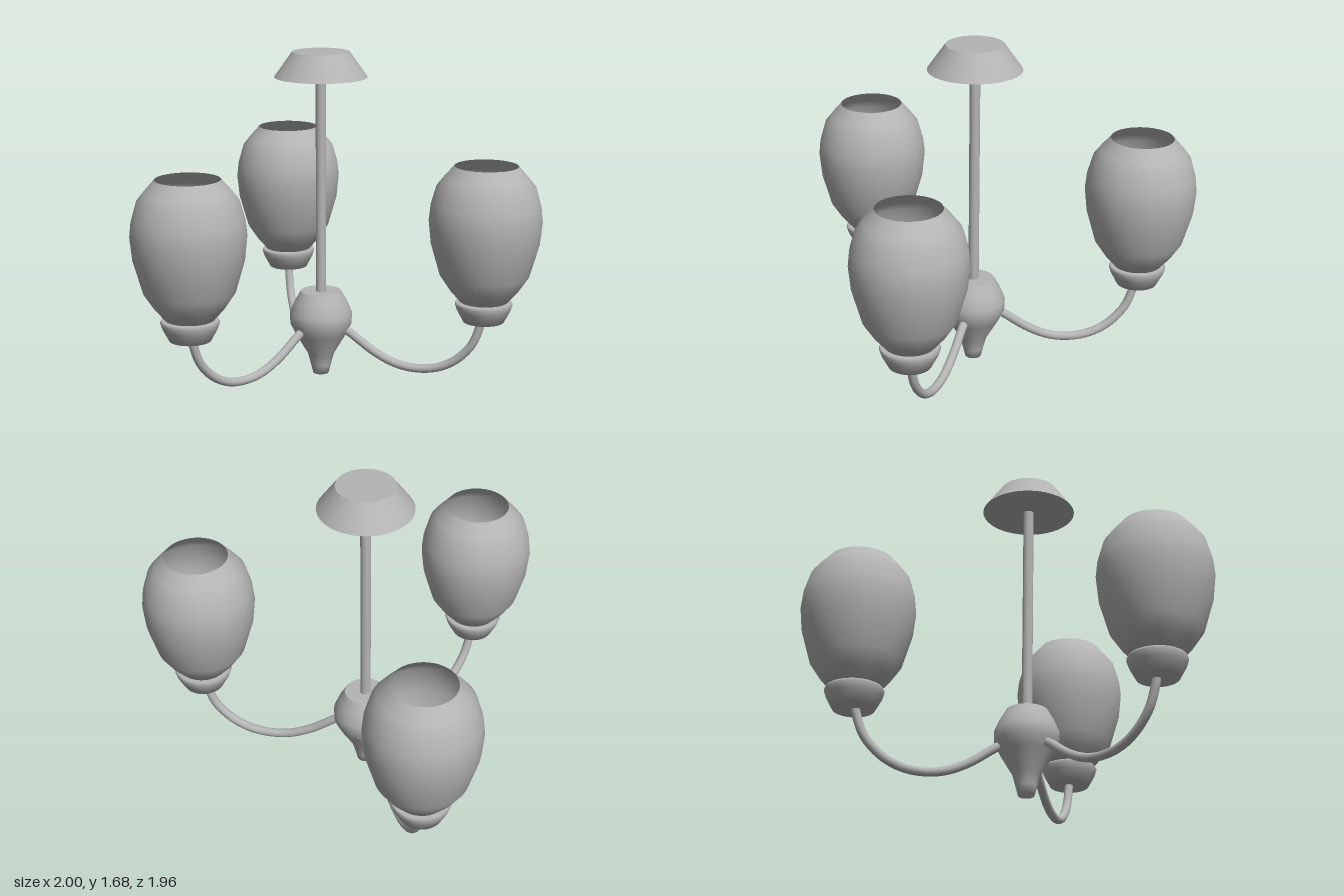
import * as THREE from 'three';

export function createModel() {
  const model = new THREE.Group();
  model.name = 'chandelier';

  const grey = new THREE.MeshStandardMaterial({ color: 0xb4b4b4 });
  grey.name = 'plainGrey';
  grey.side = THREE.DoubleSide;

  const add = (parent, name, geometry, y = 0) => {
    const mesh = new THREE.Mesh(geometry, grey);
    mesh.name = name;
    mesh.position.y = y;
    parent.add(mesh);
    return mesh;
  };
  const lathe = (points) =>
    new THREE.LatheGeometry(points.map(([r, y]) => new THREE.Vector2(r, y)), 40);

  // The stem stands off-centre so the three arms fill the bounds evenly
  const fixture = new THREE.Group();
  fixture.name = 'fixture';
  fixture.position.set(-0.095, 0, -0.127);
  model.add(fixture);

  // Ceiling canopy and stem
  add(fixture, 'canopy', new THREE.CylinderGeometry(0.144, 0.233, 0.126, 40), 1.622);
  add(fixture, 'stem', new THREE.CylinderGeometry(0.026, 0.026, 1.16, 20), 1.0);

  // Turned central hub
  add(fixture, 'hub', lathe([
    [0, 0.005], [0.04, 0.018], [0.052, 0.065], [0.068, 0.125], [0.13, 0.23],
    [0.157, 0.285], [0.16, 0.34], [0.135, 0.4], [0.103, 0.455],
  ]));
  const hubTop = add(fixture, 'hubTop', new THREE.CircleGeometry(0.103, 40), 0.455);
  hubTop.rotation.x = -Math.PI / 2;

  // Shared lamp parts
  const armCurve = new THREE.CatmullRomCurve3([
    [0.11, 0.27], [0.15, 0.25], [0.28, 0.16], [0.39, 0.108], [0.49, 0.09],
    [0.6, 0.1], [0.7, 0.145], [0.79, 0.235], [0.83, 0.33], [0.845, 0.4],
  ].map(([x, y]) => new THREE.Vector3(x, y, 0)));
  const armGeometry = new THREE.TubeGeometry(armCurve, 40, 0.022, 14, false);
  const cupGeometry = lathe([
    [0, 0.37], [0.102, 0.37], [0.134, 0.43], [0.144, 0.46], [0.138, 0.473], [0, 0.473],
  ]);
  const shadeGeometry = lathe([
    [0, 0.465], [0.12, 0.475], [0.172, 0.535], [0.222, 0.61], [0.268, 0.77],
    [0.28, 0.885], [0.272, 0.96], [0.245, 1.055], [0.21, 1.1], [0.168, 1.148], [0.158, 1.16],
  ]);

  // Three arms, each with a cup and an open glass shade
  for (let i = 0; i < 3; i++) {
    const lamp = new THREE.Group();
    lamp.name = `lamp${i + 1}`;
    lamp.rotation.y = THREE.MathUtils.degToRad(17.3 + 120 * i);
    add(lamp, 'arm', armGeometry);
    add(lamp, 'cup', cupGeometry).position.x = 0.85;
    add(lamp, 'shade', shadeGeometry).position.x = 0.85;
    fixture.add(lamp);
  }
  return model;
}
